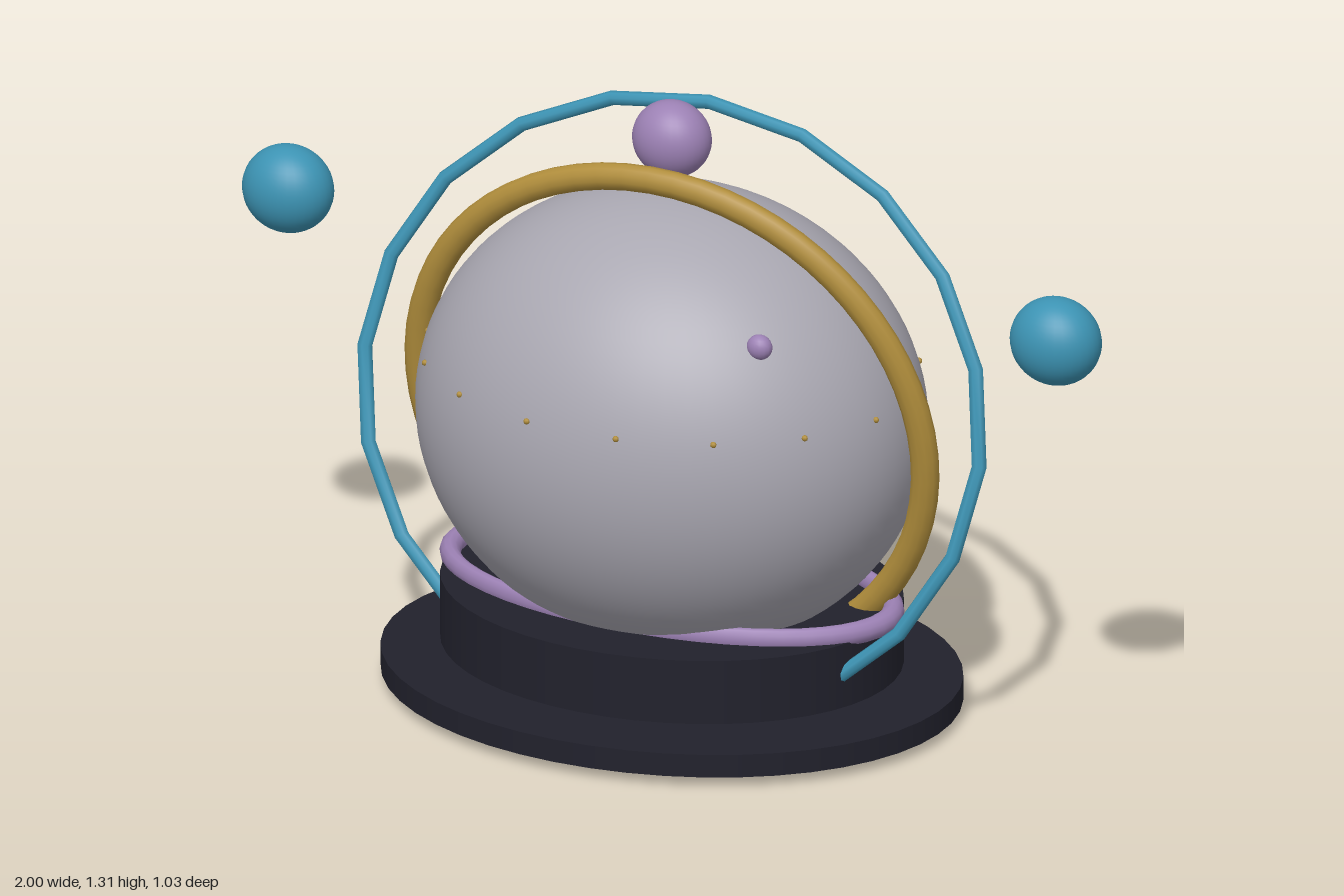
import * as THREE from 'three';

export function createModel() {
  const model = new THREE.Group();
  const mat = (name, color) => {
    const m = new THREE.MeshStandardMaterial({ color });
    m.name = name;
    return m;
  };
  const grey = mat('pearl grey', 0xa9a7b1);
  const blue = mat('teal blue', 0x3c93b3);
  const gold = mat('gold', 0xb18e3c);
  const purple = mat('soft purple', 0x9c81b4);
  const dark = mat('dark navy', 0x21212c);

  const add = (name, geometry, material, x = 0, y = 0, z = 0) => {
    const mesh = new THREE.Mesh(geometry, material);
    mesh.name = name;
    mesh.position.set(x, y, z);
    model.add(mesh);
    return mesh;
  };
  const ellipsoid = (rx, ry, rz, ws = 32, hs = 24) =>
    new THREE.SphereGeometry(1, ws, hs).scale(rx, ry, rz);
  const disc = (rx, h, rz) => new THREE.CylinderGeometry(1, 1, h, 48).scale(rx, 1, rz);
  // Oval ring: u and v are its half axes, n the direction across it
  const ring = (tube, sides, segments, u, v, n) =>
    new THREE.TorusGeometry(1, tube, sides, segments).applyMatrix4(
      new THREE.Matrix4().makeBasis(
        new THREE.Vector3(...u), new THREE.Vector3(...v), new THREE.Vector3(...n)));

  // Stand
  add('baseDisc', disc(0.625, 0.05, 0.515), dark, 0, 0.05, 0);
  add('baseCollar', disc(0.497, 0.14, 0.411), dark, 0, 0.17, 0);
  add('collarTrim', ring(0.048, 12, 48, [0.5, 0, 0], [0, 0, -0.27], [0, 0.5, 0]),
    purple, 0, 0.25, 0);

  // Globe
  add('globe', ellipsoid(0.55, 0.49, 0.457, 64, 48), grey, 0, 0.622, 0);

  // Tiny studs around the globe
  for (let i = 0; i < 16; i++) {
    const a = (i + 0.5) * Math.PI / 8;
    add('stud', ellipsoid(0.007, 0.0065, 0.006, 8, 6), gold,
      0.536 * Math.cos(a), 0.734, 0.446 * Math.sin(a));
  }
  add('marker', ellipsoid(0.028, 0.027, 0.023, 16, 12), purple, 0.337, 0.914, 0.243);

  // Tilted rings
  add('goldRing', ring(0.052, 12, 64, [0.576, 0, -0.03], [0, 0.547, 0.092], [0, -0.1, 0.48]),
    gold, 0, 0.622, 0);
  add('blueRing', ring(0.0235, 8, 20, [0.721, 0, 0], [0, 0.619, -0.161], [0, 0.16, 0.6]),
    blue, 0, 0.636, 0);

  // Orbiting balls
  add('topBall', ellipsoid(0.0855, 0.082, 0.072), purple, 0, 1.23, 0);
  for (const side of [-1, 1]) {
    add(side > 0 ? 'leftBall' : 'rightBall', ellipsoid(0.099, 0.094, 0.082), blue,
      side * 0.901, 0.95, 0);
  }
  return model;
}
